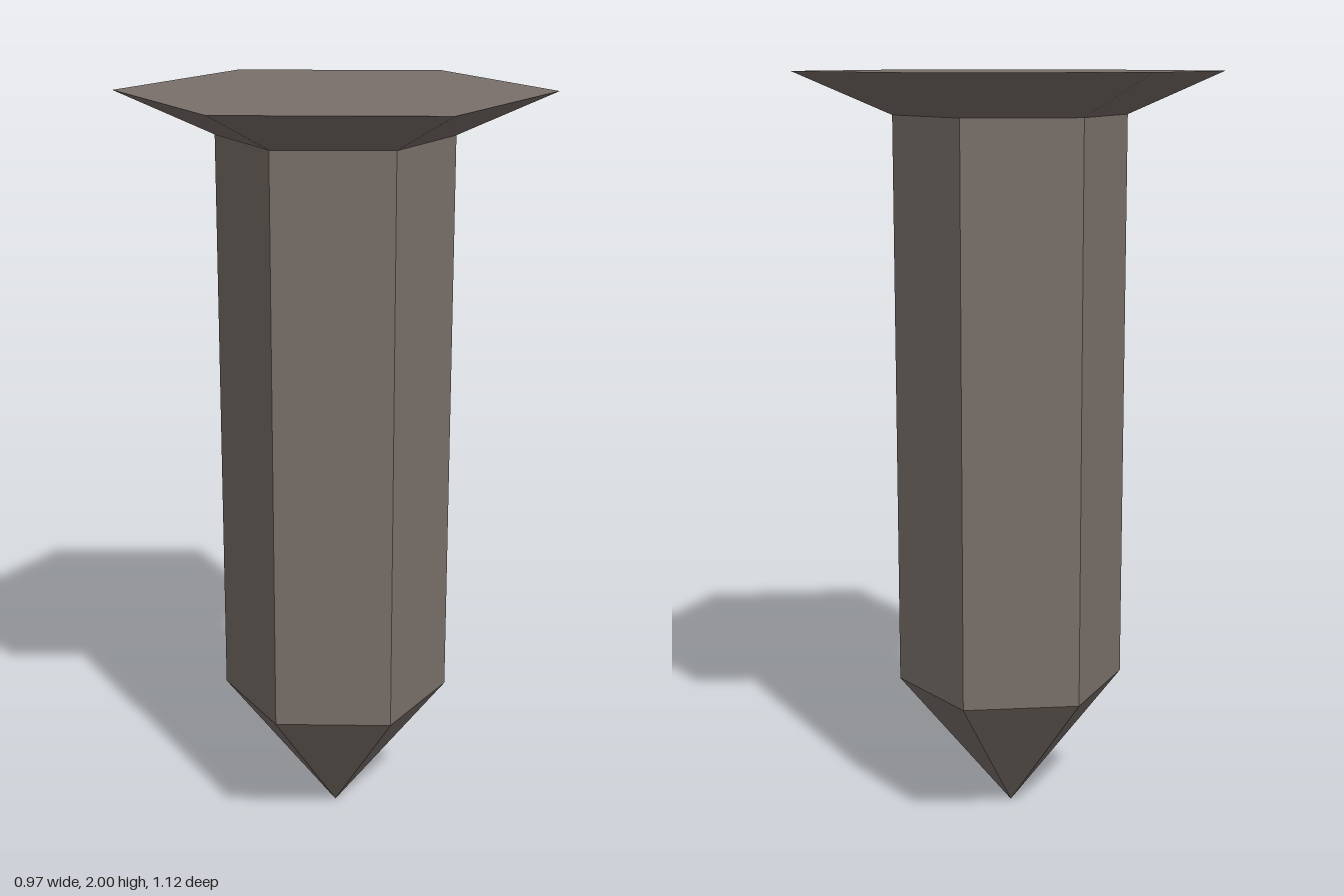
import * as THREE from 'three';

const SIDES = 6;
const SHAFT_RADIUS = 0.305;
const HEAD_RADIUS = 0.56;

export function createModel() {
  const group = new THREE.Group();
  group.name = 'nail';

  const iron = new THREE.MeshStandardMaterial({ color: 0x7a706a, flatShading: true });
  iron.name = 'dull iron';

  // Six-sided section with corners on the z axis, spanning bottom to top
  function section(name, topRadius, bottomRadius, bottom, top, open) {
    const geometry = new THREE.CylinderGeometry(topRadius, bottomRadius, top - bottom, SIDES, 1, open);
    geometry.translate(0, (top + bottom) / 2, 0);
    const mesh = new THREE.Mesh(geometry, iron);
    mesh.name = name;
    group.add(mesh);
  }

  // Pointed tip, straight shaft and flared flat-topped head
  section('tip', SHAFT_RADIUS, 0, 0, 0.37, true);
  section('shaft', SHAFT_RADIUS, SHAFT_RADIUS, 0.37, 1.89, true);
  section('head', HEAD_RADIUS, SHAFT_RADIUS, 1.89, 2, false);

  return group;
}
